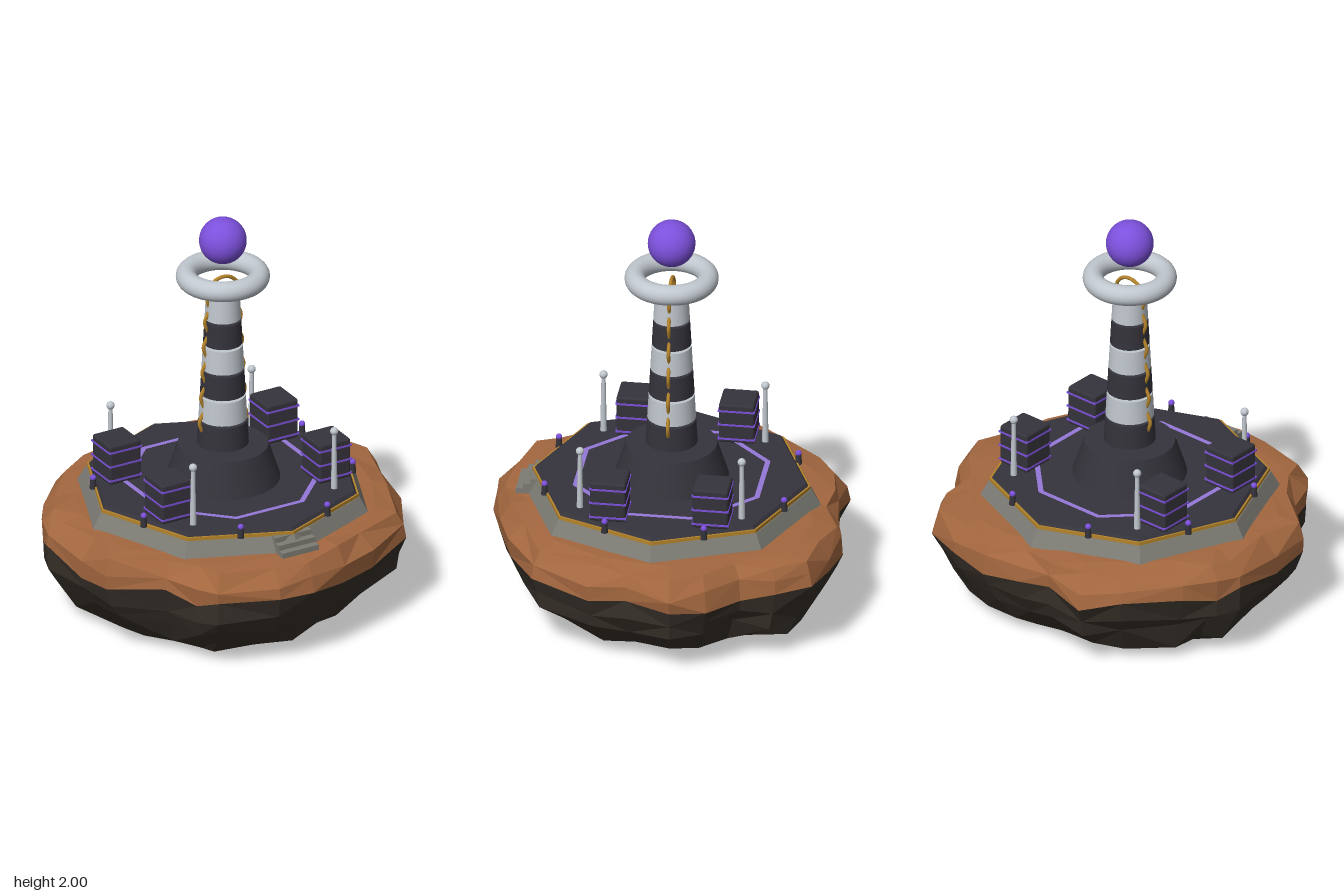
import * as THREE from 'three';
import { RoundedBoxGeometry } from 'three/addons/geometries/RoundedBoxGeometry.js';

const CX = -0.03; // axis of the tower and platform

// Outline of the rock seen from above, as [x, z] pairs
const OUTLINE = [
  [0.16, -0.87], [0.37, -0.82], [0.56, -0.765], [0.65, -0.6], [0.68, -0.435], [0.83, -0.29], [0.89, -0.12],
  [0.815, 0.105], [0.79, 0.29], [0.65, 0.58], [0.38, 0.73], [0.18, 0.8], [-0.03, 0.865], [-0.22, 0.87],
  [-0.505, 0.765], [-0.57, 0.675], [-0.65, 0.51], [-0.87, 0.315], [-0.87, 0.1], [-0.9, -0.19],
  [-0.86, -0.31], [-0.77, -0.46], [-0.57, -0.69], [-0.41, -0.81], [-0.2, -0.79], [-0.03, -0.82],
];

function seeded(seed) {
  return () => {
    seed = (seed * 16807) % 2147483647;
    return seed / 2147483647;
  };
}

function faceted(geometry) {
  const flat = geometry.index ? geometry.toNonIndexed() : geometry;
  flat.computeVertexNormals();
  return flat;
}

// Joins rings of points, bottom to top, into a faceted shell with optional cap centres
function shell(rings, bottom, top) {
  const out = [];
  const tri = (...pts) => pts.forEach((p) => out.push(...p));
  const n = rings[0].length;
  for (let i = 0; i < n; i++) {
    const j = (i + 1) % n;
    for (let k = 0; k < rings.length - 1; k++) {
      const a = rings[k][i], b = rings[k][j], c = rings[k + 1][j], d = rings[k + 1][i];
      if ((i * 7 + k * 3) % 5 < 2) { tri(a, d, c); tri(a, c, b); }
      else { tri(a, d, b); tri(b, d, c); }
    }
    if (bottom) tri(bottom, rings[0][i], rings[0][j]);
    if (top) tri(top, rings[rings.length - 1][j], rings[rings.length - 1][i]);
  }
  const g = new THREE.BufferGeometry();
  g.setAttribute('position', new THREE.Float32BufferAttribute(out, 3));
  return faceted(g);
}

export function createModel() {
  const mat = (name, color) => {
    const m = new THREE.MeshStandardMaterial({ color });
    m.name = name;
    return m;
  };
  const soil = mat('brown soil', 0xa3673f);
  const stone = mat('dark stone', 0x373029);
  const concrete = mat('concrete', 0x7c7b74);
  const dark = mat('dark metal', 0x35333b);
  const light = mat('light metal', 0xc0c7ce);
  const gold = mat('gold', 0xb5842a);
  const purple = mat('purple', 0x7c50dc);
  const lilac = mat('lilac', 0x9478d8);

  const model = new THREE.Group();
  model.name = 'beaconIsland';
  const add = (name, geometry, material, x, y, z, parent = model) => {
    const mesh = new THREE.Mesh(geometry, material);
    mesh.name = name;
    mesh.position.set(x, y, z);
    parent.add(mesh);
    return mesh;
  };
  const drum = (rTop, rBottom, h, sides = 32) => new THREE.CylinderGeometry(rTop, rBottom, h, sides);

  // Rock: jittered copies of the outline at several heights
  const rand = seeded(41);
  const ring = (y, scale, jitterR, jitterY, shift = 0) => OUTLINE.map(([x, z]) => {
    const s = scale + (rand() - 0.5) * jitterR;
    return [x * s + shift, y + (rand() - 0.5) * jitterY, z * s];
  });
  const seam = ring(0.37, 0.99, 0.02, 0.06);
  add('rockBase', shell([
    ring(0.004, 0.64, 0.06, 0.006, -0.04),
    ring(0.07, 0.79, 0.07, 0.04, -0.02),
    ring(0.19, 0.91, 0.07, 0.05),
    ring(0.28, 0.96, 0.05, 0.04),
    seam,
  ], [0, 0, 0]), stone, 0, 0, 0);
  add('rockTop', shell([
    seam,
    ring(0.45, 0.985, 0.03, 0.04),
    ring(0.52, 0.93, 0.08, 0.025),
    ring(0.533, 0.82, 0.06, 0.004),
  ], null, [0, 0.533, 0]), soil, 0, 0, 0);

  // Octagonal platform with its gold trim and dark deck
  add('platform', faceted(drum(0.675, 0.72, 0.08, 8)), concrete, CX, 0.565, 0);
  add('platformTrim', faceted(drum(0.67, 0.67, 0.018, 8)), gold, CX, 0.613, 0);
  add('deck', faceted(drum(0.648, 0.662, 0.017, 8)), dark, CX, 0.628, 0);
  const stripe = new THREE.RingGeometry(0.46, 0.487, 8, 1, Math.PI / 8);
  stripe.rotateX(-Math.PI / 2);
  add('deckStripe', stripe, lilac, CX, 0.641, 0);

  // Front steps
  for (let i = 0; i < 3; i++) {
    add('step', new THREE.BoxGeometry(0.2, 0.027, 0.14), concrete, CX, 0.543 + i * 0.026, 0.667 - i * 0.035);
  }

  // Edge lamps, one in the middle of each side
  for (let i = 0; i < 8; i++) {
    const a = Math.PI / 8 + (i * Math.PI) / 4;
    const x = CX + 0.625 * Math.cos(a), z = 0.625 * Math.sin(a);
    add('lampBase', drum(0.013, 0.017, 0.05, 12), dark, x, 0.635, z);
    add('lampBulb', new THREE.SphereGeometry(0.015, 16, 12), purple, x, 0.667, z);
  }

  // Cabinets and poles at the four corners
  for (const sx of [-1, 1]) {
    for (const sz of [-1, 1]) {
      const cabinet = new THREE.Group();
      cabinet.name = 'cabinet';
      cabinet.position.set(CX + sx * 0.435, 0.635, sz * 0.247 - 0.014);
      model.add(cabinet);
      add('cabinetBody', new RoundedBoxGeometry(0.172, 0.205, 0.172, 2, 0.012), dark, 0, 0.1025, 0, cabinet);
      for (const y of [0.022, 0.097, 0.17]) {
        add('cabinetStripe', new THREE.BoxGeometry(0.178, 0.009, 0.178), purple, 0, y, 0, cabinet);
      }
      const px = CX + sx * 0.39, pz = sz * 0.39 - 0.005;
      add('pole', drum(0.01, 0.016, 0.3, 12), light, px, 0.785, pz);
      add('poleBall', new THREE.SphereGeometry(0.02, 16, 12), light, px, 0.938, pz);
    }
  }

  // Tower: a conical foot and six separated tapering bands
  add('towerFoot', drum(0.218, 0.275, 0.175), dark, CX, 0.7225, 0);
  const radius = (y) => 0.124 - ((y - 0.82) * 0.043) / 0.78;
  for (let i = 0; i < 6; i++) {
    const y = 0.82 + i * 0.132;
    add('towerBand', drum(radius(y + 0.12), radius(y), 0.12), i % 2 ? light : dark, CX, y + 0.06, 0);
  }

  // Gold cable weaving up one side, arching over the top and down the other
  const side = [];
  for (let y = 0.9; y <= 1.59; y += 0.0165) {
    side.push([radius(y) + 0.001 + 0.011 * Math.cos(((y - 0.945) * 2 * Math.PI) / 0.132), y]);
  }
  side.push([0.084, 1.61], [0.078, 1.645], [0.045, 1.68]);
  const path = [
    ...side.map(([x, y]) => new THREE.Vector3(x, y, 0)),
    new THREE.Vector3(0, 1.692, 0),
    ...side.reverse().map(([x, y]) => new THREE.Vector3(-x, y, 0)),
  ];
  add('cable', new THREE.TubeGeometry(new THREE.CatmullRomCurve3(path), 260, 0.009, 8), gold, CX, 0, 0);

  // Floating ring and orb
  const halo = new THREE.TorusGeometry(0.175, 0.05, 20, 56);
  halo.rotateX(Math.PI / 2);
  add('floatingRing', halo, light, CX, 1.698, 0);
  add('orb', new THREE.SphereGeometry(0.114, 40, 28), purple, CX, 1.886, 0);

  return model;
}
